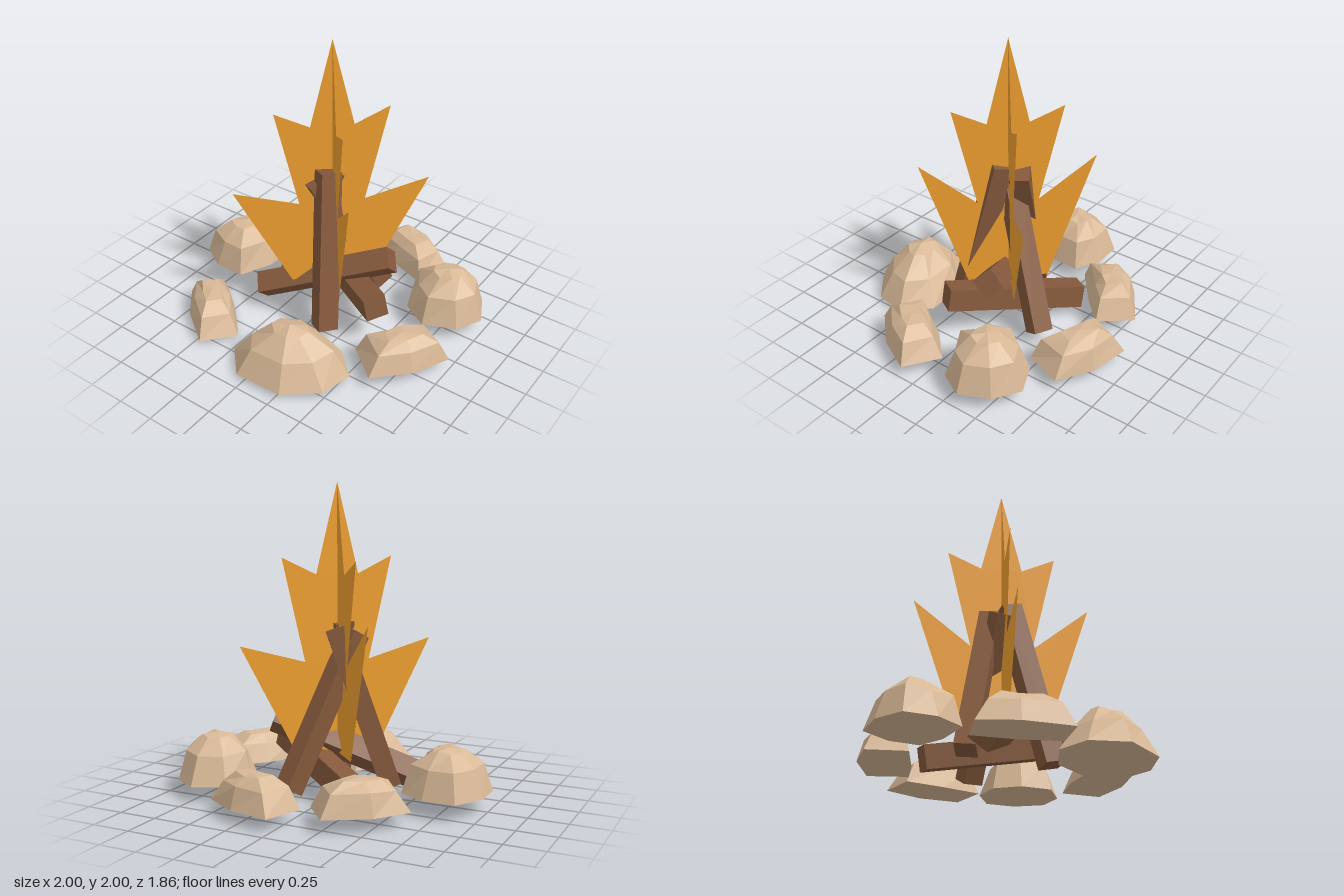
import * as THREE from 'three';

const woodMat = new THREE.MeshStandardMaterial({ color: 0x85593c, flatShading: true });
const rockMat = new THREE.MeshStandardMaterial({ color: 0xd8b896, flatShading: true });
const flameMat = new THREE.MeshStandardMaterial({ color: 0xf0a030, side: THREE.DoubleSide });

// Square log running from a to b, twisted about its own axis
function log(name, a, b, twist, width) {
  const from = new THREE.Vector3(...a), to = new THREE.Vector3(...b);
  const mesh = new THREE.Mesh(new THREE.BoxGeometry(width, width, from.distanceTo(to)), woodMat);
  mesh.position.copy(from).lerp(to, 0.5);
  mesh.lookAt(to);
  mesh.rotateZ(THREE.MathUtils.degToRad(twist));
  mesh.name = name;
  return mesh;
}

// Faceted boulder: footprint outline shrunk through a few levels [scale, height], slightly roughened
function rock(name, base, top, shoulder, crown, outline) {
  const n = outline.length;
  const cx = outline.reduce((s, p) => s + p[0], 0) / n;
  const cz = outline.reduce((s, p) => s + p[1], 0) / n;
  const levels = [[0, 0], [1, 0.09], shoulder, crown, [0, 1]];
  const rings = levels.map(([s, t], k) => outline.map(([x, z], i) => {
    const rough = k === 2 || k === 3 ? Math.sin(i * 2.7 + k * 1.9 + cx * 9) : 0;
    const scale = s * (1 + 0.06 * rough);
    return [cx + (x - cx) * scale, base + (top - base) * (t + 0.03 * rough), cz + (z - cz) * scale];
  }));
  const pos = [];
  for (let k = 0; k < rings.length - 1; k++) {
    for (let i = 0; i < n; i++) {
      const j = (i + 1) % n, lo = rings[k], hi = rings[k + 1];
      if (k > 0) pos.push(...lo[i], ...hi[i], ...lo[j]);
      if (k < rings.length - 2) pos.push(...hi[i], ...hi[j], ...lo[j]);
    }
  }
  const geo = new THREE.BufferGeometry();
  geo.setAttribute('position', new THREE.Float32BufferAttribute(pos, 3));
  geo.computeVertexNormals();
  const mesh = new THREE.Mesh(geo, rockMat);
  mesh.name = name;
  return mesh;
}

// Flat jagged flame, mirrored from its right-hand outline
function flame(name, half, angle) {
  const left = half.slice(1).reverse().map(([x, y]) => [-x, y]);
  const shape = new THREE.Shape([...half, ...left].map(p => new THREE.Vector2(...p)));
  const mesh = new THREE.Mesh(new THREE.ShapeGeometry(shape), flameMat);
  mesh.position.set(0.023, 0, -0.007);
  mesh.rotation.y = angle;
  mesh.name = name;
  return mesh;
}

export function createModel() {
  const model = new THREE.Group();
  model.name = 'campfire';

  // Two crossed flame sheets
  const flames = new THREE.Group();
  flames.name = 'flames';
  flames.add(
    flame('wideFlame', [[0, 2], [0.14, 1.42], [0.365, 1.53], [0.215, 0.865], [0.638, 0.985], [0.27, 0.26]], Math.PI / 4),
    flame('narrowFlame', [[0, 1.98], [0.135, 1.42], [0.355, 1.52], [0.2, 0.86], [0.57, 1.155], [0.27, 0.26]], -Math.PI / 4)
  );

  // Three leaning logs crossing near the top, and two low ones
  const logs = new THREE.Group();
  logs.name = 'logs';
  logs.add(
    log('frontLog', [0.16, 0.07, 0.27], [0.03, 1.12, 0.045], 27, 0.135),
    log('backLog', [0.18, 0.08, -0.38], [-0.07, 1.04, 0.07], 5, 0.13),
    log('leftLog', [-0.35, 0.08, 0.01], [0.0, 1.08, -0.08], 15, 0.13),
    log('crossLog', [-0.42, 0.12, 0.2], [0.41, 0.48, -0.14], 42, 0.145),
    log('lowLog', [-0.28, 0.12, -0.38], [0.48, 0.3, 0.15], 8, 0.15)
  );

  // Ring of boulders: peaked, domed and long flat-topped ones
  const peaked = [[0.7, 0.58], [0.3, 0.9]];
  const domed = [[0.77, 0.66], [0.36, 0.95]];
  const long = [[0.74, 0.7], [0.4, 0.96]];
  const rocks = new THREE.Group();
  rocks.name = 'stoneRing';
  rocks.add(
    rock('frontRock', 0, 0.35, ...peaked, [[-0.17, 0.53], [0.07, 0.37], [0.37, 0.37], [0.54, 0.53], [0.49, 0.75], [0.28, 0.92], [-0.05, 0.93], [-0.22, 0.75]]),
    rock('frontRightRock', 0.01, 0.23, ...long, [[-0.67, 0.28], [-0.47, 0.44], [-0.28, 0.64], [-0.45, 0.83], [-0.7, 0.65], [-0.85, 0.46]]),
    rock('rightRock', 0.08, 0.39, ...domed, [[-0.89, -0.29], [-0.68, -0.29], [-0.51, -0.2], [-0.52, -0.02], [-0.62, 0.2], [-0.83, 0.2], [-1, 0.1], [-1, -0.1]]),
    rock('backRightRock', 0.07, 0.29, ...long, [[-0.28, -0.83], [-0.11, -0.63], [-0.27, -0.47], [-0.51, -0.28], [-0.69, -0.47], [-0.54, -0.67]]),
    rock('backRock', 0.06, 0.28, ...long, [[0.02, -0.93], [0.29, -0.88], [0.52, -0.74], [0.43, -0.49], [0.17, -0.58], [-0.07, -0.68]]),
    rock('backLeftRock', 0.07, 0.4, ...domed, [[0.73, -0.65], [0.9, -0.54], [0.99, -0.35], [0.9, -0.18], [0.69, -0.09], [0.51, -0.2], [0.44, -0.38], [0.53, -0.56]]),
    rock('leftRock', 0.07, 0.28, ...long, [[0.78, -0.06], [1, 0.09], [0.88, 0.33], [0.68, 0.53], [0.46, 0.35], [0.61, 0.11]])
  );

  model.add(flames, logs, rocks);
  return model;
}
